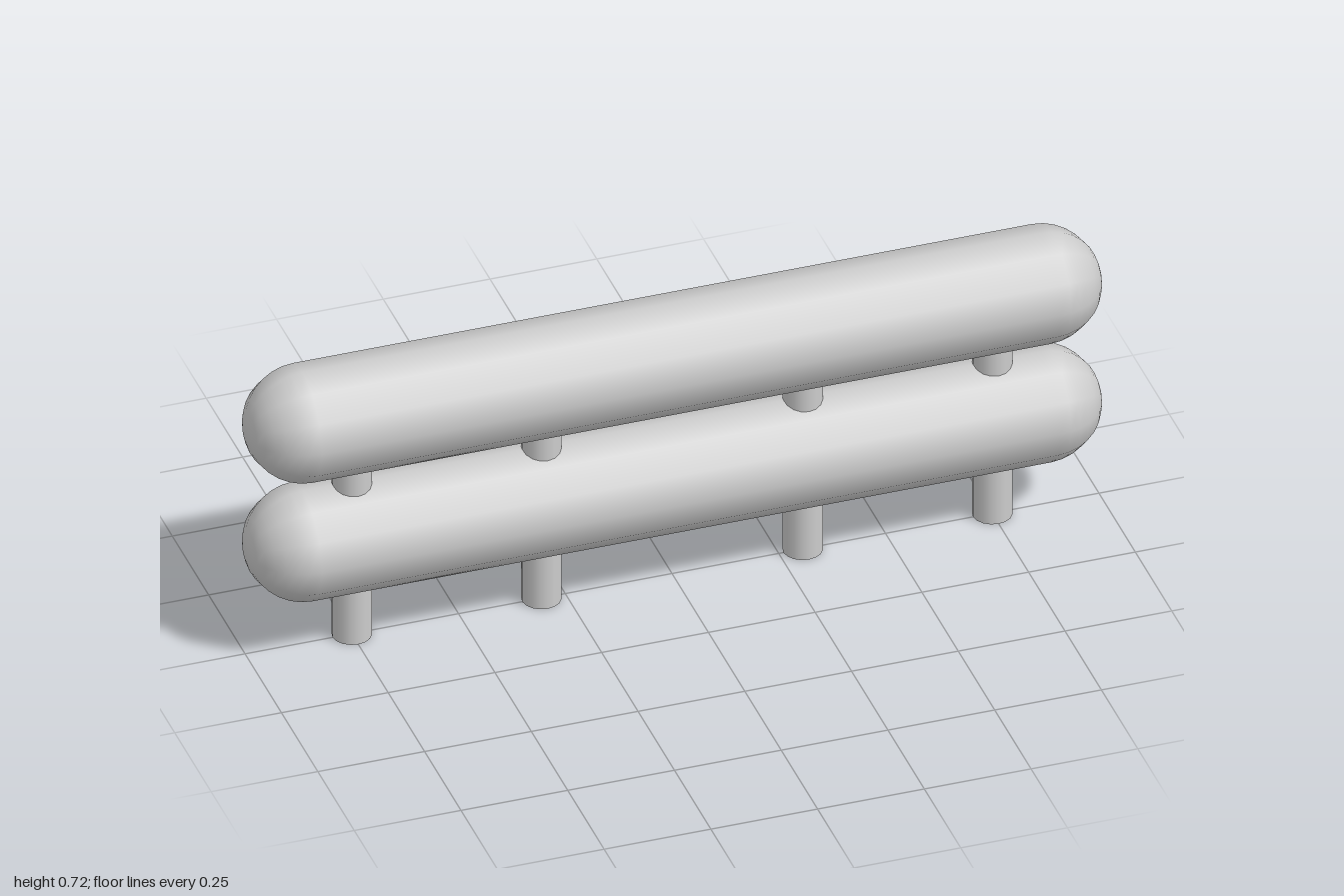
import * as THREE from 'three';

export function createModel() {
  const group = new THREE.Group();
  const grey = new THREE.MeshStandardMaterial({ color: 0xcccccc });
  grey.name = 'light grey';

  // Two round-ended horizontal rails, twelve-sided
  const radius = 0.135;
  const railGeometry = new THREE.CapsuleGeometry(radius, 2 - 2 * radius, 8, 12);
  railGeometry.rotateZ(Math.PI / 2);
  for (const [name, y] of [['lowerRail', 0.27], ['upperRail', 0.585]]) {
    const rail = new THREE.Mesh(railGeometry, grey);
    rail.name = name;
    rail.position.y = y;
    group.add(rail);
  }

  // Four posts running from the ground through the lower rail into the upper one
  const postHeight = 0.54;
  const postGeometry = new THREE.CylinderGeometry(0.045, 0.045, postHeight, 16);
  for (const side of [-1, 1]) {
    for (const [name, x] of [['outerPost', 0.75], ['innerPost', 0.306]]) {
      const post = new THREE.Mesh(postGeometry, grey);
      post.name = (side > 0 ? 'left ' : 'right ') + name;
      post.position.set(side * x, postHeight / 2, 0);
      group.add(post);
    }
  }
  return group;
}
